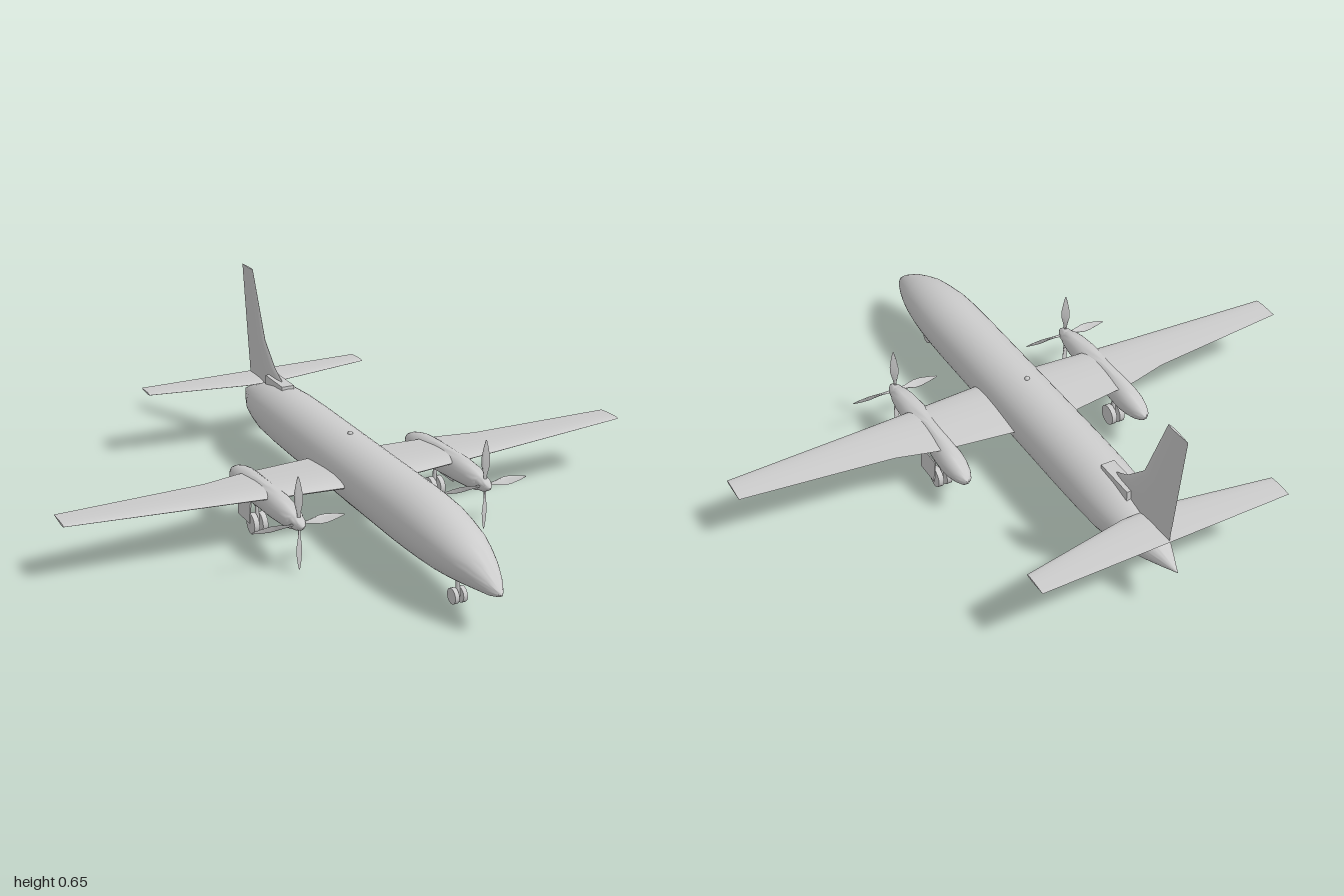
import * as THREE from 'three';
import { toCreasedNormals } from 'three/addons/utils/BufferGeometryUtils.js';

const material = new THREE.MeshStandardMaterial({ color: 0xcccccc });

function mesh(name, geometry, x = 0, y = 0, z = 0) {
  const m = new THREE.Mesh(geometry, material);
  m.name = name;
  m.position.set(x, y, z);
  return m;
}

// Skin a list of equal-length rings of Vector3 and close both ends.
function skin(rings, crease = 0.7) {
  const n = rings[0].length;
  const pts = rings.flat();
  const faces = [];
  for (let i = 0; i < rings.length - 1; i++) {
    for (let j = 0; j < n; j++) {
      const a = i * n + j, b = i * n + (j + 1) % n;
      faces.push([a, b, b + n], [a, b + n, a + n]);
    }
  }
  [0, rings.length - 1].forEach((r, end) => {
    const centre = new THREE.Vector3();
    rings[r].forEach((p) => centre.addScaledVector(p, 1 / n));
    const c = pts.push(centre) - 1;
    for (let j = 0; j < n; j++) {
      const a = r * n + j, b = r * n + (j + 1) % n;
      faces.push(end ? [c, a, b] : [c, b, a]);
    }
  });
  // Turn the faces outward when the enclosed volume comes out negative.
  let volume = 0;
  const cross = new THREE.Vector3();
  for (const [a, b, c] of faces) volume += pts[a].dot(cross.crossVectors(pts[b], pts[c]));
  if (volume < 0) faces.forEach((f) => f.reverse());
  const g = new THREE.BufferGeometry().setFromPoints(pts);
  g.setIndex(faces.flat());
  return toCreasedNormals(g, crease);
}

// Body along z from stations [z, centre y, half width, half height].
function body(stations, sides = 32) {
  return skin(stations.map(([z, y, rx, ry]) => Array.from({ length: sides }, (_, i) => {
    const a = (i / sides) * Math.PI * 2;
    return new THREE.Vector3(Math.cos(a) * rx, y + Math.sin(a) * ry, z);
  })));
}

// Aerofoil outline as [chord fraction from the leading edge, thickness offset].
const half = [[0.03, 0.2], [0.12, 0.4], [0.3, 0.5], [0.55, 0.4], [0.8, 0.2]];
const foil = [[0, 0], ...half, [1, 0], ...half.map(([c, t]) => [c, -t]).reverse()];

// Flying surface from stations [span, leading z, trailing z, offset, thickness].
function surface(stations, upright = false) {
  return skin(stations.map(([s, lead, trail, off, t]) => foil.map(([c, h]) => {
    const z = lead + (trail - lead) * c, o = off + h * t;
    return upright ? new THREE.Vector3(o, s, z) : new THREE.Vector3(s, o, z);
  })), 0.6);
}

// Complete a half span with its mirror image.
const fullSpan = (st) => [...st.map(([s, ...r]) => [-s, ...r]).reverse(), ...st];

function wheel(x, y, z, r, width) {
  const g = new THREE.CylinderGeometry(r, r, width, 24).rotateZ(Math.PI / 2);
  return mesh('wheel', g, x, y, z);
}

// Twin wheels on an axle with a strut.
function landingGear(name, r, width, spread, top) {
  const g = new THREE.Group();
  g.name = name;
  for (const s of [-1, 1]) g.add(wheel(s * spread, r, 0, r, width));
  g.add(mesh('axle', new THREE.CylinderGeometry(0.006, 0.006, spread * 2, 10).rotateZ(Math.PI / 2), 0, r, 0));
  g.add(mesh('strut', new THREE.CylinderGeometry(0.007, 0.007, top - r, 12), 0, (top + r) / 2, 0));
  return g;
}

// Four tapered, twisted blades around a spinner.
function propeller() {
  const g = new THREE.Group();
  g.name = 'propeller';
  const blade = skin([[0.01, 0.009, 0.009, 0.9], [0.035, 0.012, 0.008, 0.8], [0.07, 0.028, 0.006, 0.6],
    [0.095, 0.028, 0.005, 0.45], [0.13, 0.016, 0.004, 0.35], [0.155, 0.004, 0.002, 0.3]]
    .map(([r, chord, t, twist]) => foil.map(([c, h]) => {
      const u = (c - 0.5) * chord, v = h * t;
      return new THREE.Vector3(u * Math.cos(twist) - v * Math.sin(twist), r,
        u * Math.sin(twist) + v * Math.cos(twist));
    })));
  for (let i = 0; i < 4; i++) {
    const b = mesh('blade', blade);
    b.rotation.z = (i * Math.PI) / 2;
    g.add(b);
  }
  g.add(mesh('spinner', body([[-0.025, 0, 0.027, 0.027], [0, 0, 0.023, 0.023], [0.018, 0, 0.015, 0.015],
    [0.029, 0, 0.007, 0.007], [0.034, 0, 0.001, 0.001]], 20)));
  g.position.set(0, 0.165, 0.275);
  return g;
}

function engine(side) {
  const g = new THREE.Group();
  g.name = side > 0 ? 'leftEngine' : 'rightEngine';
  g.add(mesh('nacelle', body([
    [0.255, 0.165, 0.026, 0.026], [0.24, 0.165, 0.031, 0.032], [0.2, 0.165, 0.037, 0.039],
    [0.13, 0.164, 0.042, 0.045], [0.07, 0.161, 0.039, 0.048], [0.02, 0.158, 0.034, 0.051],
    [-0.03, 0.155, 0.034, 0.053], [-0.08, 0.153, 0.039, 0.051], [-0.13, 0.151, 0.041, 0.048],
    [-0.17, 0.15, 0.038, 0.041], [-0.205, 0.149, 0.03, 0.031], [-0.23, 0.148, 0.019, 0.02],
    [-0.245, 0.147, 0.004, 0.004],
  ], 24)));
  g.add(propeller());
  const gear = landingGear('mainGear', 0.035, 0.018, 0.015, 0.13);
  gear.position.z = -0.05;
  g.add(gear);
  // The wheel door hangs on the outer side only.
  const door = mesh('gearDoor', new THREE.BoxGeometry(0.004, 0.075, 0.095), side * 0.043, 0.098, -0.05);
  door.rotation.z = side * 0.08;
  g.add(door);
  g.position.x = side * 0.33;
  return g;
}

export function createModel() {
  const model = new THREE.Group();
  model.name = 'airliner';

  model.add(mesh('fuselage', body([
    [0.915, 0.14, 0.002, 0.002], [0.9, 0.142, 0.013, 0.013], [0.87, 0.149, 0.03, 0.03],
    [0.83, 0.159, 0.046, 0.045], [0.8, 0.165, 0.057, 0.055], [0.75, 0.172, 0.072, 0.069],
    [0.7, 0.178, 0.084, 0.081], [0.63, 0.182, 0.094, 0.092], [0.56, 0.186, 0.101, 0.099],
    [0.48, 0.187, 0.104, 0.103], [0.4, 0.187, 0.105, 0.105], [-0.35, 0.188, 0.105, 0.105],
    [-0.48, 0.188, 0.104, 0.103], [-0.6, 0.186, 0.1, 0.096], [-0.67, 0.183, 0.089, 0.084],
    [-0.73, 0.179, 0.076, 0.07], [-0.8, 0.175, 0.05, 0.046], [-0.86, 0.171, 0.025, 0.024],
    [-0.915, 0.167, 0.001, 0.001],
  ], 40)));
  model.add(mesh('bellyFairing', body([[0.37, 0.09, 0.02, 0.008], [0.33, 0.09, 0.045, 0.016],
    [0.05, 0.09, 0.05, 0.016], [-0.15, 0.09, 0.045, 0.014], [-0.21, 0.092, 0.02, 0.008]], 20)));
  model.add(mesh('roofAntenna', new THREE.SphereGeometry(0.009, 12, 8), 0, 0.292, -0.035));

  model.add(mesh('wing', surface(fullSpan([
    [0.1, 0.137, -0.14, 0.185, 0.034], [0.37, 0.115, -0.109, 0.19, 0.025],
    [0.5, 0.104, -0.077, 0.193, 0.019], [1, 0.065, -0.036, 0.206, 0.008],
  ]))));
  model.add(mesh('tailplane', surface(fullSpan([
    [0.07, -0.72, -0.87, 0.25, 0.012], [0.425, -0.782, -0.87, 0.25, 0.007],
  ]))));
  model.add(mesh('fin', surface([
    [0.25, -0.56, -0.865, 0, 0.018], [0.295, -0.57, -0.87, 0, 0.018], [0.33, -0.635, -0.875, 0, 0.016],
    [0.41, -0.72, -0.885, 0, 0.014], [0.65, -0.82, -0.915, 0, 0.007],
  ], true)));
  model.add(mesh('finFairing', new THREE.BoxGeometry(0.046, 0.04, 0.145), 0, 0.278, -0.598));

  for (const side of [-1, 1]) model.add(engine(side));

  const noseGear = landingGear('noseGear', 0.025, 0.014, 0.014, 0.11);
  noseGear.position.set(0, 0.005, 0.672);
  model.add(noseGear);
  return model;
}
